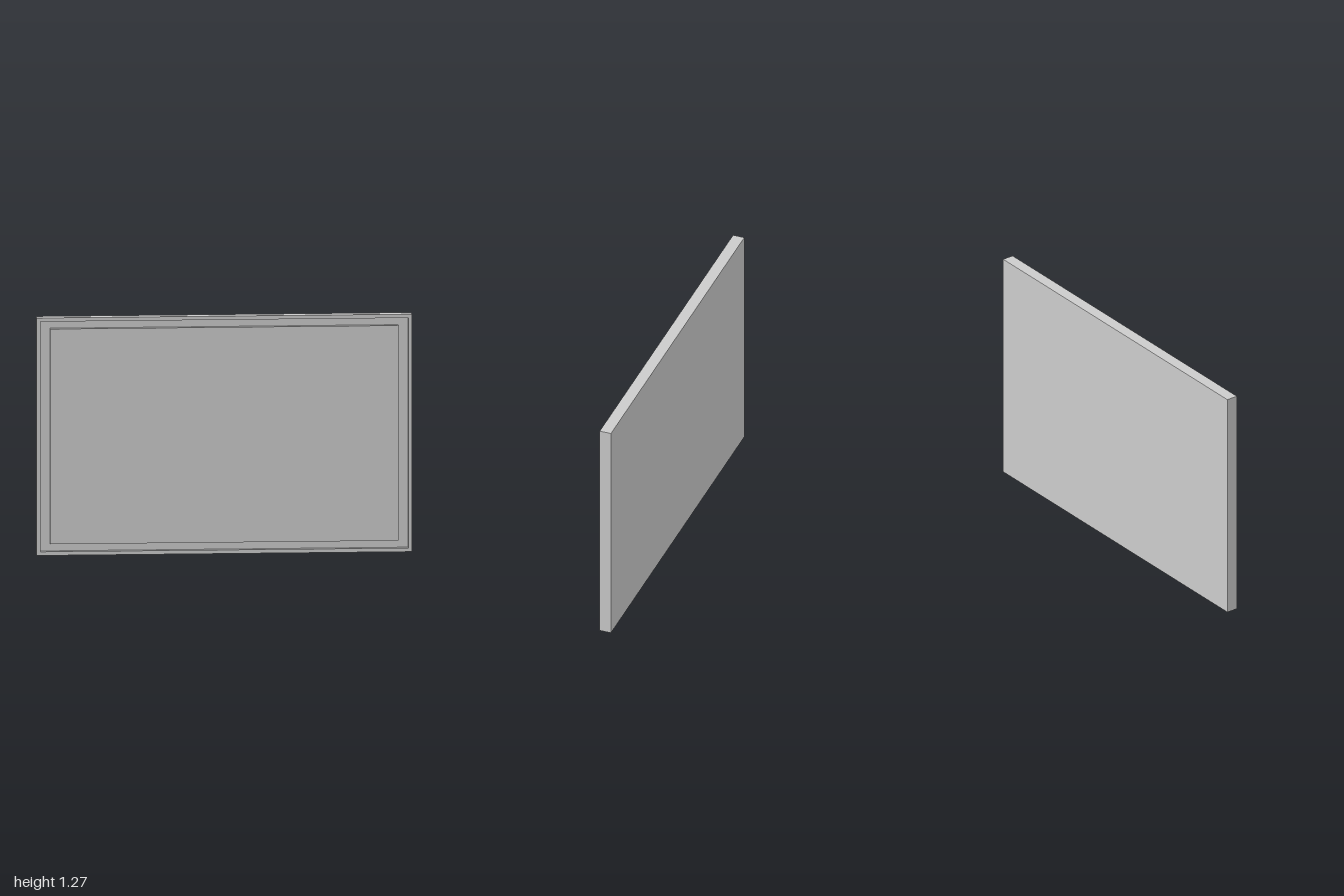
import * as THREE from 'three';

const W = 2, H = 1.275, D = 0.064; // outer size
const RIM = 0.02;                  // width of the raised edge
const FLOOR = 0;                   // z of the groove floor

// Rectangle outline centred on x, from corner to corner
function rect(Type, x0, y0, x1, y1) {
  const r = new Type();
  r.moveTo(x0, y0);
  r.lineTo(x1, y0);
  r.lineTo(x1, y1);
  r.lineTo(x0, y1);
  r.closePath();
  return r;
}

export function createModel() {
  const group = new THREE.Group();
  group.name = 'framedPanel';
  const material = new THREE.MeshStandardMaterial({ color: 0xcccccc });

  const add = (name, geometry, x, y, z) => {
    const mesh = new THREE.Mesh(geometry, material);
    mesh.name = name;
    mesh.position.set(x, y, z);
    group.add(mesh);
  };

  // Outer frame, running the full depth
  const outline = rect(THREE.Shape, -W / 2, 0, W / 2, H);
  outline.holes.push(rect(THREE.Path, -W / 2 + RIM, RIM, W / 2 - RIM, H - RIM));
  add('frame', new THREE.ExtrudeGeometry(outline, { depth: D, bevelEnabled: false }), 0, 0, -D / 2);

  // Back plate, whose front is the floor of the groove
  const plateDepth = FLOOR + D / 2;
  add('backPlate', new THREE.BoxGeometry(W - 2 * RIM, H - 2 * RIM, plateDepth),
    0, H / 2, -D / 2 + plateDepth / 2);

  // Raised centre panel, flush with the rim
  const panelDepth = D / 2 - FLOOR;
  add('centrePanel', new THREE.BoxGeometry(1.855, 1.155, panelDepth),
    0, 0.0600 + 1.155 / 2, FLOOR + panelDepth / 2);

  return group;
}
